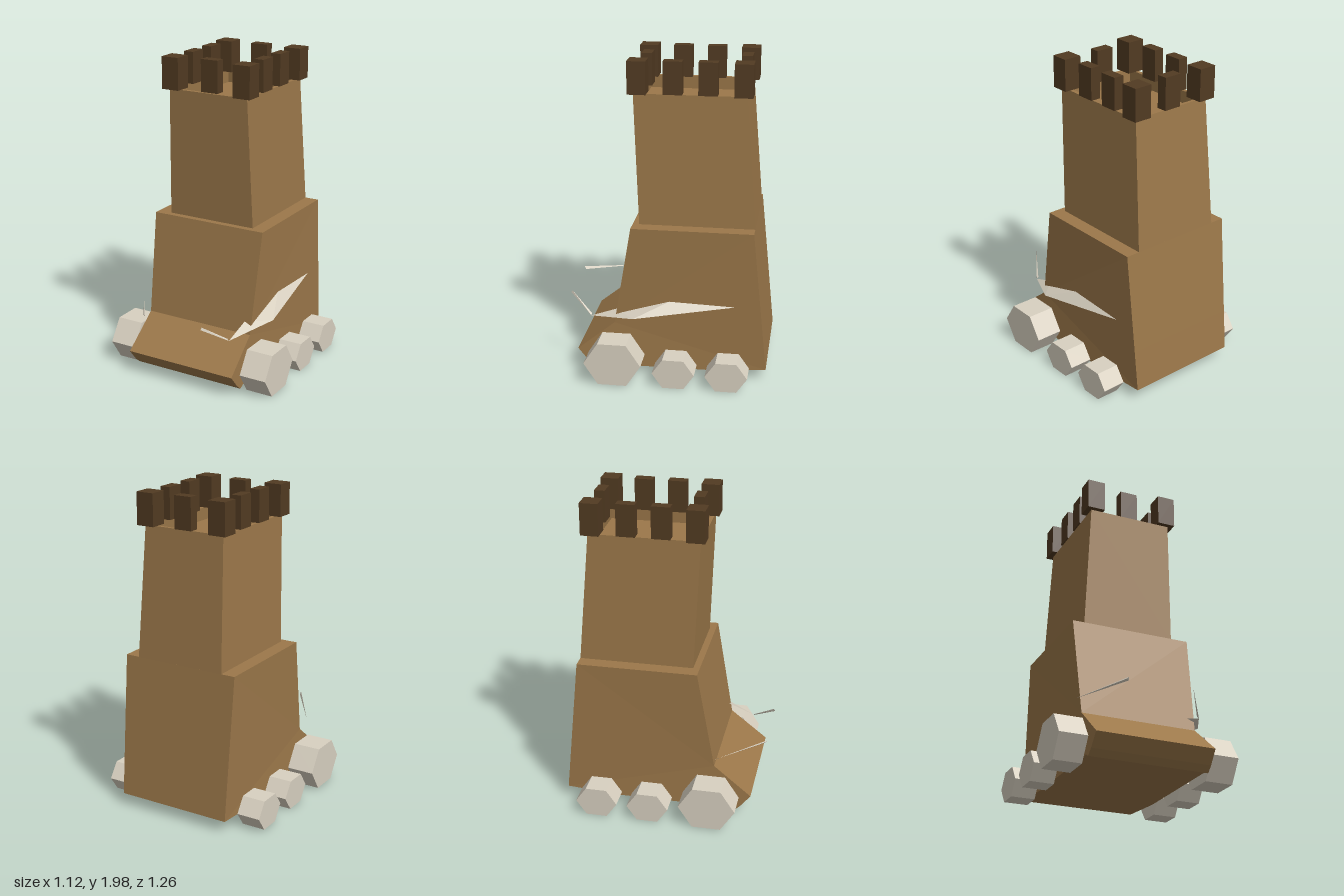
import * as THREE from 'three';

const material = (name, color, side = THREE.FrontSide) => {
  const m = new THREE.MeshStandardMaterial({ color, side });
  m.name = name;
  return m;
};

// Move every vertex by a rule, then rebuild flat normals
function reshape(geometry, rule) {
  const g = geometry.index ? geometry.toNonIndexed() : geometry;
  const p = g.attributes.position;
  const v = new THREE.Vector3();
  for (let i = 0; i < p.count; i++) {
    rule(v.fromBufferAttribute(p, i));
    p.setXYZ(i, v.x, v.y, v.z);
  }
  g.computeVertexNormals();
  return g;
}

const rectangle = (Type, x, z0, z1) => {
  const s = new Type();
  s.moveTo(-x, z0).lineTo(x, z0).lineTo(x, z1).lineTo(-x, z1).closePath();
  return s;
};

export function createModel() {
  const group = new THREE.Group();
  const wood = material('wood brown', 0x9c784a);
  const darkWood = material('dark wood', 0x523b22);
  const bone = material('pale grey', 0xd9d1c1);
  const sheet = material('blade grey', 0xd8d0c0, THREE.DoubleSide);

  const add = (name, geometry, mat, x = 0, y = 0, z = 0) => {
    const mesh = new THREE.Mesh(geometry, mat);
    mesh.name = name;
    mesh.position.set(x, y, z);
    group.add(mesh);
    return mesh;
  };

  // Hull: side profile (z, y) pushed across x, with a width that varies by height
  const profile = [
    [0.21, 0.99], [0.32, 0.355], [0.555, 0.165], [0.49, 0.085], [0.45, 0.05],
    [0.42, 0.068], [-0.3, 0.07], [-0.63, 0.095], [-0.604, 0.355], [-0.54, 0.99],
  ].map(([z, y]) => new THREE.Vector2(z, y));
  const hull = new THREE.ExtrudeGeometry(new THREE.Shape(profile), { depth: 2, bevelEnabled: false });
  hull.translate(0, 0, -1).rotateY(-Math.PI / 2);
  add('hull', reshape(hull, (v) => {
    v.x *= v.y > 0.35
      ? THREE.MathUtils.mapLinear(v.y, 0.355, 0.99, 0.365, 0.385)
      : THREE.MathUtils.mapLinear(v.y, 0.05, 0.355, 0.375, 0.365);
  }), wood);

  // Tower: hollow rectangular shaft, wider and further back at its foot
  const ring = rectangle(THREE.Shape, 0.27, -0.205, 0.475);
  ring.holes.push(rectangle(THREE.Path, 0.245, -0.18, 0.455));
  const tower = new THREE.ExtrudeGeometry(ring, { depth: 0.81, bevelEnabled: false });
  tower.rotateX(-Math.PI / 2).translate(0, 0.99, 0);
  add('tower', reshape(tower, (v) => {
    const t = (1.8 - v.y) / 0.81;
    v.x *= 1 + 0.093 * t;
    v.z = -0.135 - 0.05 * t + (v.z + 0.135) * (1 + 0.044 * t);
  }), wood);
  add('towerFloor', new THREE.BoxGeometry(0.5, 0.02, 0.645), wood, 0, 1.71, -0.138);

  // Battlements: corners, front and back middles, side pairs
  const merlon = (name, x, z, w, d) =>
    add(name, new THREE.BoxGeometry(w, 0.2, d), darkWood, x, 1.9, z);
  for (const s of [-1, 1]) {
    merlon('cornerMerlon', s * 0.247, -0.455, 0.115, 0.112);
    merlon('cornerMerlon', s * 0.247, 0.18, 0.115, 0.112);
    for (const z of [-0.243, -0.032]) merlon('sideMerlon', s * 0.247, z, 0.065, 0.115);
  }
  merlon('backMerlon', 0, -0.453, 0.115, 0.065);
  merlon('frontMerlon', 0, 0.156, 0.115, 0.065);

  // Six-sided wheels, point upward: [z, y, radius, half depth, centre x, width]
  const wheels = [
    [0.305, 0.157, 0.157, 0.154, 0.475, 0.175],
    [-0.072, 0.112, 0.108, 0.113, 0.476, 0.15],
    [-0.398, 0.112, 0.108, 0.113, 0.476, 0.15],
  ];
  for (const s of [-1, 1]) {
    for (const [z, y, r, half, x, width] of wheels) {
      const g = new THREE.CylinderGeometry(r, r, width, 6);
      g.rotateZ(Math.PI / 2);
      const k = half / (r * Math.sin(Math.PI / 3));
      add('wheel', reshape(g, (v) => { v.z *= k; }), bone, s * x, y, z);
    }
  }

  // Thin sheets made of triangles over a few shared corners
  const thin = (name, points, faces) => {
    const g = new THREE.BufferGeometry();
    g.setAttribute('position', new THREE.Float32BufferAttribute(points.flat(), 3));
    g.setIndex(faces.flat());
    add(name, reshape(g, () => {}), sheet);
  };

  // Folded blade along the left flank
  thin('sideBlade', [
    [0.37, 0.515, -0.49], [0.455, 0.425, 0.19], [0.362, 0.53, -0.05],
    [0.31, 0.367, 0.48], [0.32, 0.43, 0.31],
  ], [[0, 2, 1], [2, 4, 1], [4, 3, 1]]);

  // Narrow prongs reaching forward
  thin('leftProng', [
    [0.31, 0.367, 0.48], [0.298, 0.378, 0.478], [0.202, 0.472, 0.63], [0.205, 0.485, 0.62],
  ], [[0, 1, 2], [0, 2, 3], [1, 3, 2], [0, 3, 1]]);
  thin('rightProng', [
    [-0.41, 0.43, 0.33], [-0.202, 0.466, 0.62], [-0.205, 0.485, 0.63], [-0.215, 0.475, 0.62],
  ], [[0, 1, 2], [0, 2, 3], [0, 3, 1], [1, 3, 2]]);

  return group;
}
